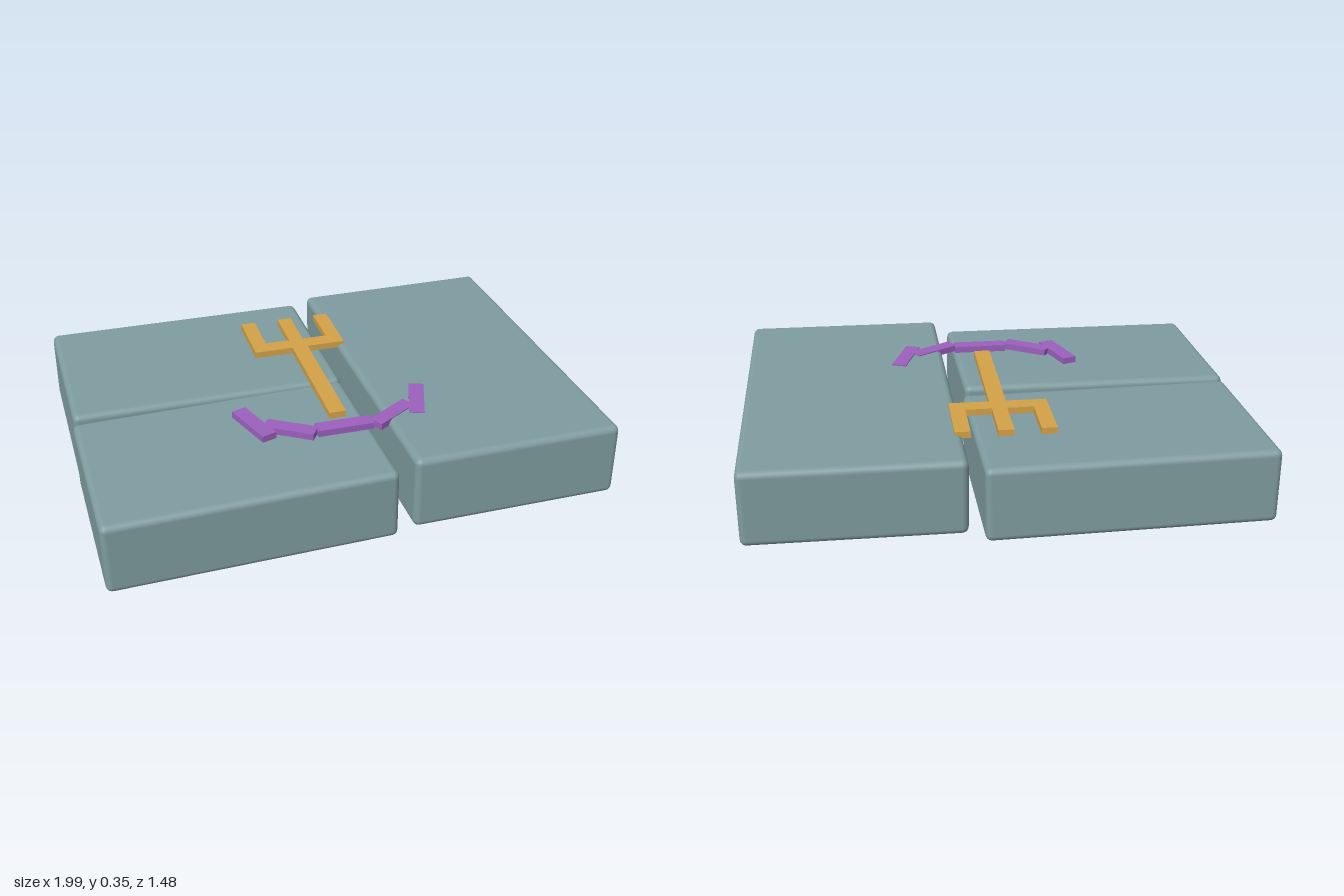
import * as THREE from 'three';
import { RoundedBoxGeometry } from 'three/addons/geometries/RoundedBoxGeometry.js';

export function createModel() {
  const model = new THREE.Group();
  const material = (name, color) => {
    const m = new THREE.MeshStandardMaterial({ color });
    m.name = name;
    return m;
  };
  const stone = material('stone', 0x7f9ca0);
  const gold = material('gold', 0xd4a248);
  const purple = material('purple', 0x9b5fbd);

  // Three rounded slabs, each slightly tilted
  const slabs = [
    ['rightSlab', [0.82, 0.295, 1.455], [0.578, 0.203, -0.008], [-0.01, 0.009, 0.006]],
    ['backSlab', [1.1, 0.293, 0.717], [-0.44, 0.16, -0.377], [0.013, 0.017, -0.005]],
    ['frontSlab', [1.095, 0.288, 0.707], [-0.434, 0.162, 0.368], [0.008, 0.022, 0.012]],
  ];
  for (const [name, size, position, rotation] of slabs) {
    const slab = new THREE.Mesh(new RoundedBoxGeometry(...size, 3, 0.025), stone);
    slab.name = name;
    slab.position.set(...position);
    slab.rotation.set(...rotation);
    model.add(slab);
  }

  // Flat emblems hovering over the slabs
  const thickness = 0.026;
  const emblemY = 0.343;
  const extrude = (shape) => {
    const g = new THREE.ExtrudeGeometry(shape, { depth: thickness, bevelEnabled: false });
    return g.rotateX(Math.PI / 2).translate(0, emblemY + thickness / 2, 0);
  };

  // Trident outline in x and z, right half then mirrored left half
  const half = [
    [0.033, 0.31], [0.033, -0.24], [0.193, -0.24], [0.193, -0.51],
    [0.133, -0.51], [0.133, -0.31], [0.03, -0.31], [0.03, -0.51],
  ];
  const outline = [...half, ...half.map(([x, z]) => [-x, z]).reverse()];
  const trident = new THREE.Mesh(
    extrude(new THREE.Shape(outline.map(([x, z]) => new THREE.Vector2(x, z)))), gold);
  trident.name = 'trident';
  model.add(trident);

  // Curved crest made of five straight bars
  const crest = new THREE.Group();
  crest.name = 'crest';
  const bar = (name, length, x, z, angle) => {
    const mesh = new THREE.Mesh(new THREE.BoxGeometry(length, thickness, 0.06), purple);
    mesh.name = name;
    mesh.position.set(x, emblemY, z);
    mesh.rotation.y = angle;
    crest.add(mesh);
  };
  bar('crestMiddle', 0.22, 0, 0.395, 0);
  for (const side of [-1, 1]) {
    bar('crestArm', 0.2, side * 0.203, 0.364, side * 0.56);
    bar('crestTip', 0.22, side * 0.328, 0.292, side * 1.24);
  }
  model.add(crest);

  return model;
}
